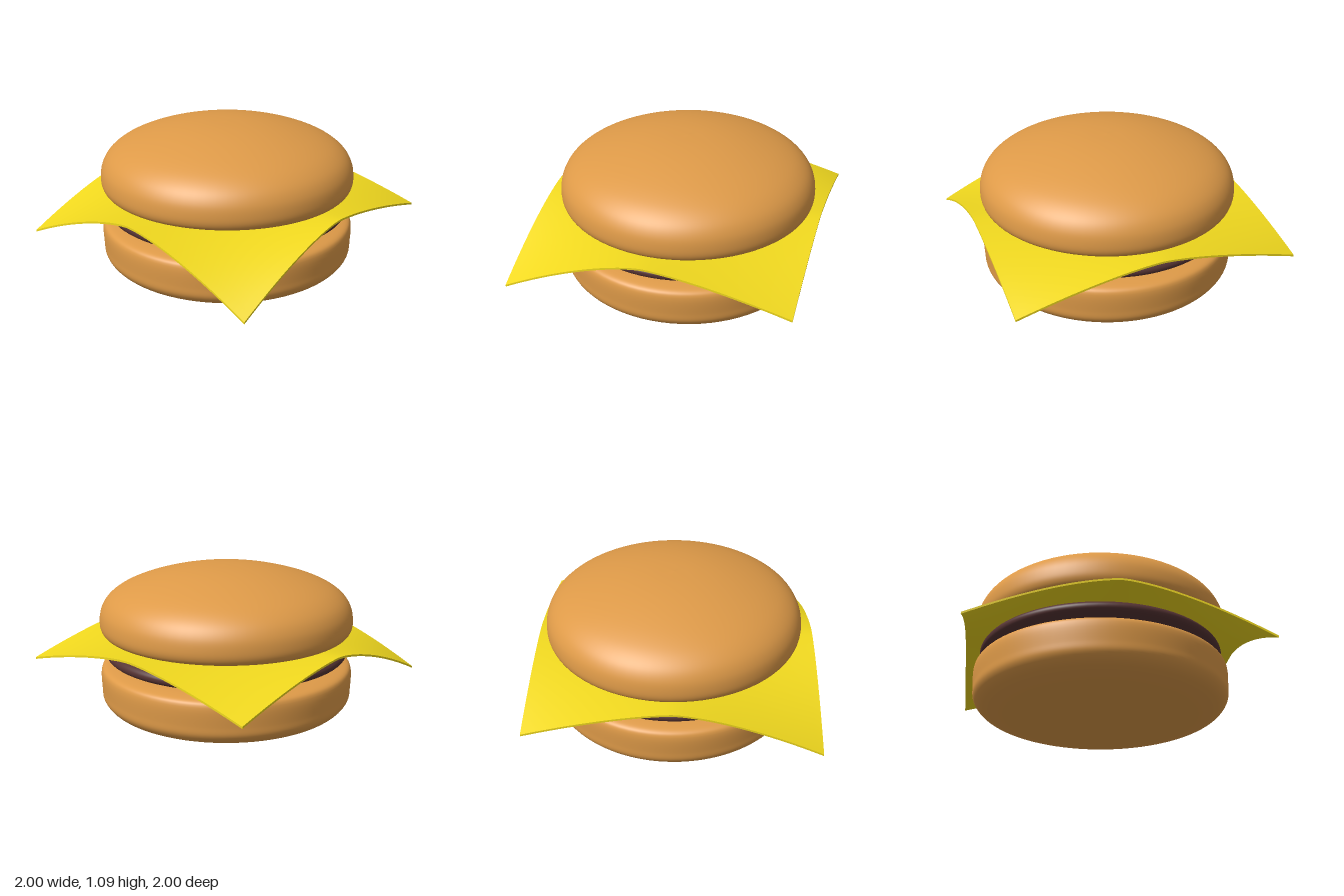
import * as THREE from 'three';

const bunMaterial = new THREE.MeshStandardMaterial({ color: 0xde9a48 });
const pattyMaterial = new THREE.MeshStandardMaterial({ color: 0x553333 });
const cheeseMaterial = new THREE.MeshStandardMaterial({ color: 0xf0d81e });

// Round layer turned from a smooth [radius, height] profile, listed bottom to top
function roundLayer(name, profile, material) {
  const curve = new THREE.CatmullRomCurve3(
    profile.map(([r, y]) => new THREE.Vector3(r, y, 0)), false, 'centripetal');
  const points = curve.getPoints(72).map((p) => new THREE.Vector2(Math.max(p.x, 0), p.y));
  const mesh = new THREE.Mesh(new THREE.LatheGeometry(points, 80), material);
  mesh.name = name;
  mesh.position.set(-0.005, 0, -0.015);
  return mesh;
}

// Square slice whose four corners sag, the front pair further than the back pair
function cheeseSlice() {
  const geometry = new THREE.BoxGeometry(2, 0.014, 2, 40, 1, 40);
  const pos = geometry.attributes.position;
  for (let i = 0; i < pos.count; i++) {
    const x = pos.getX(i), z = pos.getZ(i);
    const drop = z > 0 ? (x > 0 ? 0.34 : 0.315) : 0.185;
    pos.setY(i, pos.getY(i) + 0.585 - drop * Math.pow(Math.abs(x * z), 1.5));
  }
  geometry.computeVertexNormals();
  const mesh = new THREE.Mesh(geometry, cheeseMaterial);
  mesh.name = 'cheeseSlice';
  return mesh;
}

export function createModel() {
  const group = new THREE.Group();
  group.name = 'cheeseburger';

  // Bottom bun with a softly rounded base and rim
  group.add(roundLayer('bottomBun', [
    [0, 0], [0.35, 0.003], [0.62, 0.013], [0.77, 0.035], [0.87, 0.075], [0.915, 0.13],
    [0.922, 0.2], [0.922, 0.33], [0.905, 0.362], [0.84, 0.382], [0.7, 0.392], [0.35, 0.395], [0, 0.395],
  ], bunMaterial));

  // Meat patty
  group.add(roundLayer('patty', [
    [0, 0.398], [0.4, 0.398], [0.7, 0.402], [0.83, 0.418], [0.88, 0.445], [0.885, 0.475],
    [0.86, 0.503], [0.78, 0.52], [0.6, 0.527], [0.3, 0.528], [0, 0.528],
  ], pattyMaterial));

  group.add(cheeseSlice());

  // Domed top bun
  group.add(roundLayer('topBun', [
    [0, 0.577], [0.4, 0.579], [0.7, 0.587], [0.85, 0.6], [0.9, 0.622], [0.92, 0.66],
    [0.922, 0.72], [0.908, 0.785], [0.87, 0.85], [0.8, 0.91], [0.69, 0.965],
    [0.52, 1.02], [0.34, 1.059], [0.17, 1.079], [0, 1.085],
  ], bunMaterial));

  return group;
}
